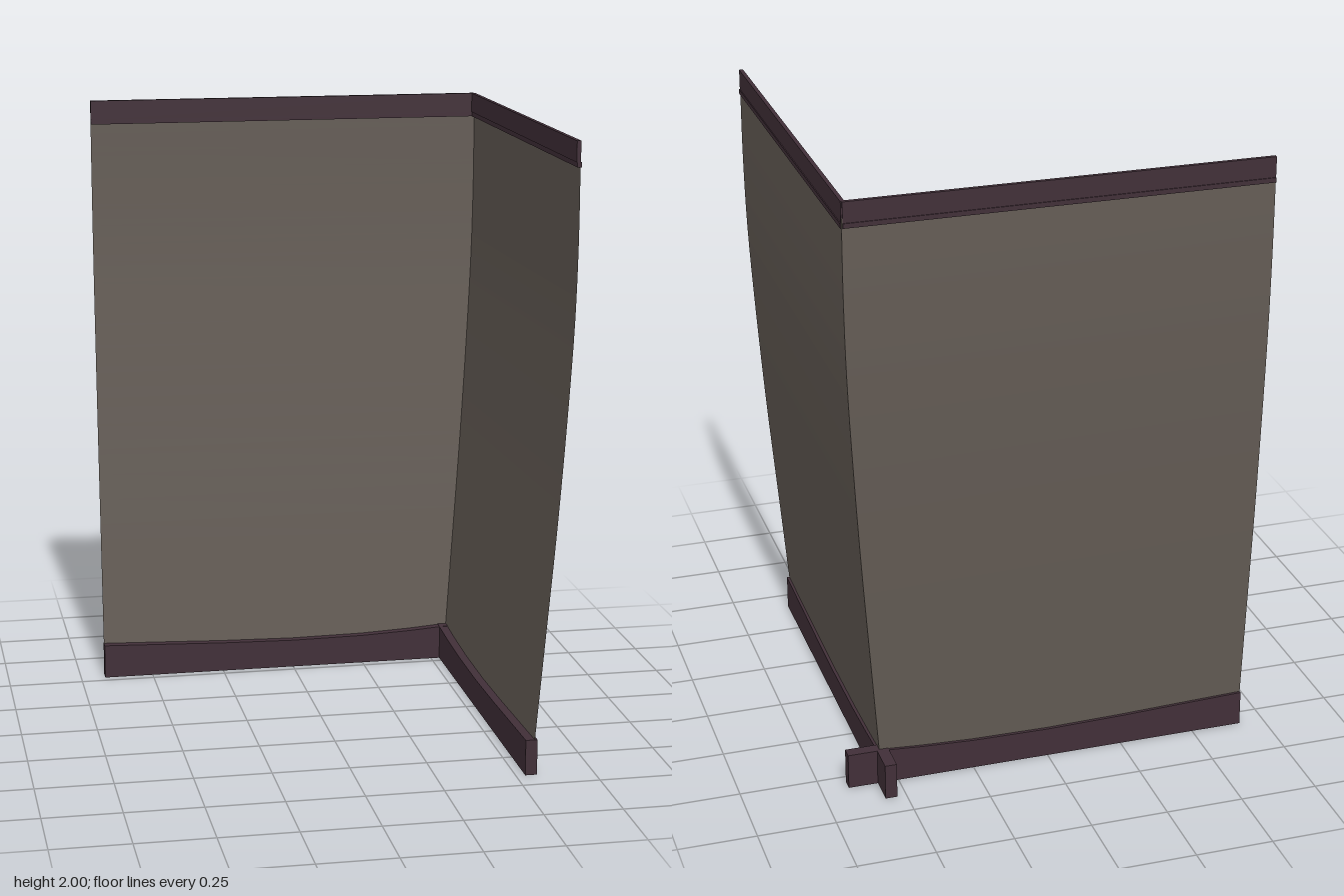
import * as THREE from 'three';

const HALF = 0.667; // half length of each side of the corner

export function createModel() {
  const panelMat = new THREE.MeshStandardMaterial({ color: 0x645c55, side: THREE.DoubleSide });
  panelMat.name = 'warm grey panel';
  const trimMat = new THREE.MeshStandardMaterial({ color: 0x412f38 });
  trimMat.name = 'dark plum trim';

  const root = new THREE.Group();
  root.name = 'wallCorner';

  // Leaning panel profile: distance from the centre against height
  const profile = new THREE.CatmullRomCurve3([
    [0.557, 0.09], [0.588, 0.45], [0.618, 0.8], [0.643, 1.15], [0.66, 1.45], [0.666, 1.7], [0.666, 1.95],
  ].map(([d, y]) => new THREE.Vector3(d, y, 0))).getPoints(24);

  // Curved sheet, mitred at the corner; side -1 is the back, side 1 the side wall
  function panel(side) {
    const pos = [], index = [];
    profile.forEach((p, i) => {
      const ends = [-HALF, p.x];
      for (const s of ends) {
        if (side < 0) pos.push(s, p.y, -p.x);
        else pos.push(p.x, p.y, -s);
      }
      if (i === 0) return;
      const a = 2 * i - 2, b = a + 1, c = a + 2, d = a + 3;
      index.push(a, b, c, b, d, c);
    });
    const g = new THREE.BufferGeometry();
    g.setAttribute('position', new THREE.Float32BufferAttribute(pos, 3));
    g.setIndex(index);
    g.computeVertexNormals();
    return g;
  }

  // Skirting board outline with a slightly dipped top edge
  const board = new THREE.Shape([
    [-HALF, 0], [0.663, 0], [0.663, 0.118], [0.56, 0.118], [0.42, 0.108],
    [0.25, 0.1], [0, 0.097], [-0.25, 0.102], [-0.45, 0.109], [-HALF, 0.116],
  ].map(([x, y]) => new THREE.Vector2(x, y)));

  // Each wall is built along x with its outer face towards z * side
  function wall(side, name) {
    const group = new THREE.Group();
    group.name = name;
    const sheet = new THREE.Mesh(panel(side), panelMat);
    sheet.name = 'curvedPanel';
    group.add(sheet);

    const trims = new THREE.Group();
    trims.name = 'trims';
    const add = (geo, partName) => {
      const m = new THREE.Mesh(geo, trimMat);
      m.name = partName;
      trims.add(m);
    };
    // Skirting runs past the corner so the two boards cross
    const skirt = new THREE.ExtrudeGeometry(board, { depth: 0.038, bevelEnabled: false });
    skirt.translate(0, 0, side * 0.549 - 0.019);
    add(skirt, 'skirting');
    // Thin top rail with a small lip under it
    const bar = (y0, y1, d0, d1) => new THREE.BoxGeometry(HALF + 0.663, y1 - y0, d1 - d0)
      .translate(-0.002, (y0 + y1) / 2, side * (d0 + d1) / 2);
    add(bar(1.935, 2, 0.654, 0.667), 'topRail');
    add(bar(1.92, 1.935, 0.656, 0.67), 'topRailLip');

    if (side > 0) trims.rotation.y = Math.PI / 2;
    group.add(trims);
    root.add(group);
  }
  wall(-1, 'backWall');
  wall(1, 'leftWall');
  return root;
}
